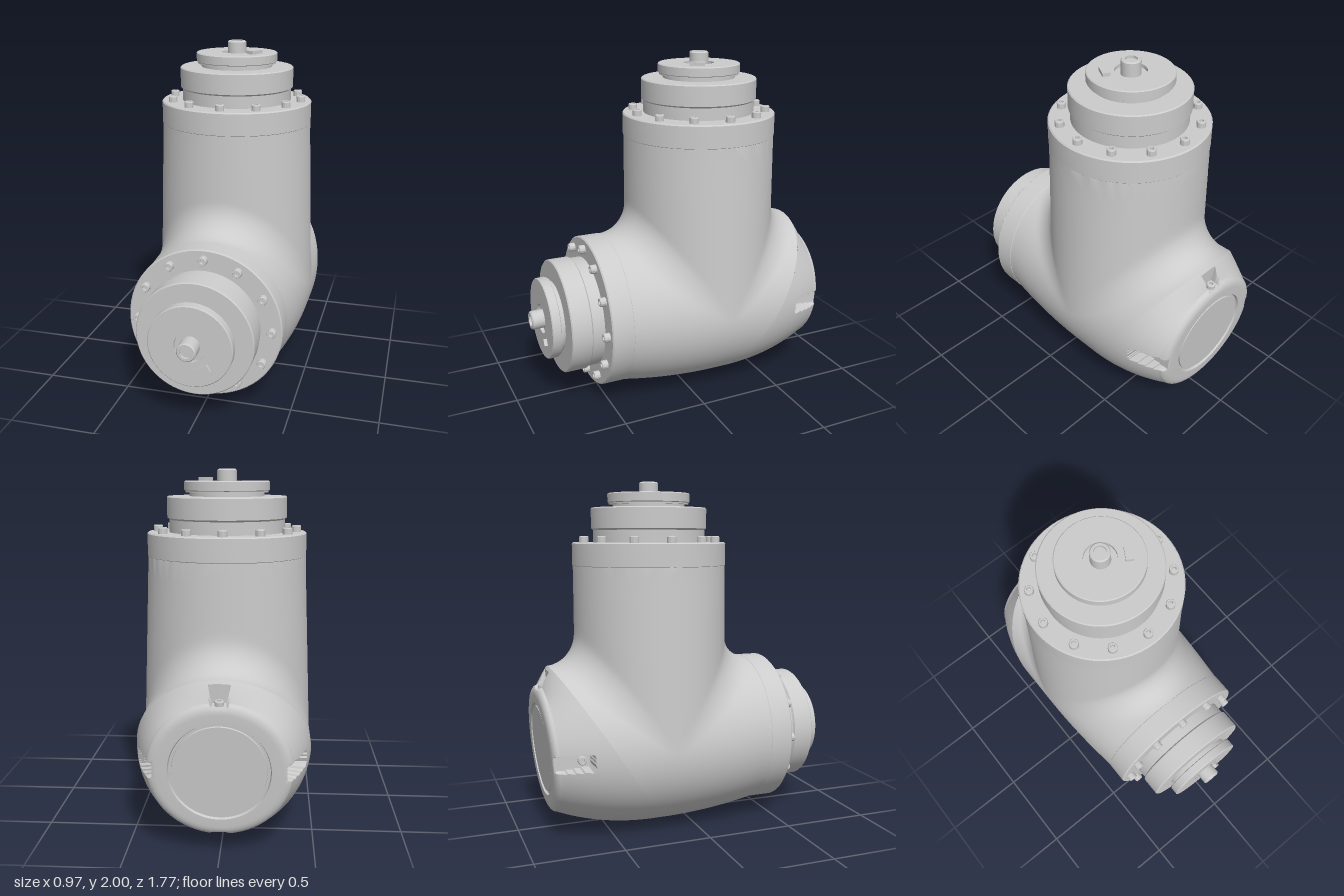
import * as THREE from 'three';
import { toCreasedNormals } from 'three/addons/utils/BufferGeometryUtils.js';

const V = (x, y, z) => new THREE.Vector3(x, y, z);
const material = new THREE.MeshStandardMaterial({ color: 0xcccccc });

function mesh(geometry, name, parent) {
  const m = new THREE.Mesh(geometry, material);
  m.name = name;
  parent.add(m);
  return m;
}

const turned = (points, sides) => toCreasedNormals(
  new THREE.LatheGeometry(points.map(([r, y]) => new THREE.Vector2(r, y)), sides), 0.5);

// Closed-loop grid: pointAt(row, angle) gives the surface
function loopGrid(rows, segs, pointAt, flip, crease) {
  const pos = [], index = [];
  for (let i = 0; i <= rows; i++)
    for (let j = 0; j < segs; j++) pos.push(...pointAt(i, (j / segs) * Math.PI * 2).toArray());
  for (let i = 0; i < rows; i++)
    for (let j = 0; j < segs; j++) {
      const k = (j + 1) % segs;
      const a = i * segs + j, b = i * segs + k, c = b + segs, d = a + segs;
      if (flip) index.push(a, c, b, a, d, c);
      else index.push(a, b, c, a, c, d);
    }
  const g = new THREE.BufferGeometry();
  g.setAttribute('position', new THREE.Float32BufferAttribute(pos, 3));
  g.setIndex(index);
  return toCreasedNormals(g, crease);
}

// Housing rule: horizontal barrel and upright neck joined by a fillet (negative inside)
function housing(p) {
  const t = THREE.MathUtils.clamp((0.41 - p.z) / 0.6, 0, 1);
  const e = 1 - (1 - t) * (1 - t);
  const na = V(p.x * 0.445 / (0.445 + 0.04 * e), (p.y - 0.505 + 0.03 * e) * 0.445 / (0.445 + 0.03 * e), 0);
  const a = na.length() - 0.445;
  const flare = 0.445 + 0.04 * THREE.MathUtils.clamp((1.52 - p.y) / 1.03, 0, 1);
  const nb = V(p.x * 0.445 / flare, Math.min(0, p.y - 0.49), p.z + 0.19);
  const b = nb.length() - 0.445;
  const k = Math.max(0.001, 0.18 * (1 - Math.max(0, na.normalize().dot(nb.normalize()))));
  const joined = Math.max(k, Math.min(a, b)) - Math.hypot(Math.max(k - a, 0), Math.max(k - b, 0));
  return Math.max(joined, p.y - 1.64, p.z - 0.53);
}

// Slanted seam plane between housing and rear cap
const seamCentre = V(0, 0.43, -0.465);
const seamUp = V(0, 0.841, -0.54).normalize();
const seamNormal = V(1, 0, 0).cross(seamUp);

// Point where a ray from the seam centre leaves the housing
function housingPoint(theta, lift) {
  const dir = V(Math.cos(theta), 0, 0).addScaledVector(seamUp, Math.sin(theta))
    .multiplyScalar(Math.cos(lift)).addScaledVector(seamNormal, Math.sin(lift));
  let lo = 0, hi = 1.8;
  for (let n = 0; n < 26; n++) {
    const mid = (lo + hi) / 2;
    if (housing(seamCentre.clone().addScaledVector(dir, mid)) < 0) lo = mid;
    else hi = mid;
  }
  return seamCentre.clone().addScaledVector(dir, lo);
}

// Rear cap: lofted from the seam to a tilted rounded rim, then to the round cover
const backCentre = V(0, 0.475, -0.858);
const backUp = V(0, 0.997, -0.078);
const backIn = V(0, 0.078, 0.997);
const onBack = (theta, rx, ry, w) => backCentre.clone().add(V(rx * Math.cos(theta), 0, 0))
  .addScaledVector(backUp, ry * Math.sin(theta)).addScaledVector(backIn, w);

const LOFT = 40, ROUND = 6;
const COVER = [[0.27, 0], [0.265, 0.014], [0.25, 0.014], [0.248, 0.004], [0, 0.004]];

// Four slots are sunk into the cap around its rim
function sinkSlot(p) {
  const rel = p.clone().sub(backCentre);
  const w = rel.dot(backIn), h = rel.dot(backUp);
  const across = Math.min(Math.abs(rel.x), Math.abs(h));
  const out = Math.max(Math.abs(rel.x), Math.abs(h));
  if (across > 0.046 || w > 0.21 || out < 0.35) return p;
  if (Math.abs(rel.x) > Math.abs(h)) p.x = Math.sign(rel.x) * 0.35;
  else p.addScaledVector(backUp, Math.sign(h) * 0.35 - h);
  return p;
}

function capPoint(i, theta) {
  if (i <= LOFT) {
    const u = i / LOFT;
    const s = housingPoint(theta, 0), r = onBack(theta, 0.385, 0.37, 0.035);
    const c = s.clone().lerp(r, 0.55)
      .addScaledVector(onBack(theta, 1, 1, 0).sub(backCentre), 0.11 * s.distanceTo(r));
    const p = s.multiplyScalar((1 - u) ** 2).addScaledVector(c, 2 * u * (1 - u)).addScaledVector(r, u * u);
    return u > 0.2 ? sinkSlot(p) : p;
  }
  if (i <= LOFT + ROUND) {
    const a = ((i - LOFT) / ROUND) * Math.PI / 2, cut = 0.055 * (1 - Math.cos(a));
    return sinkSlot(onBack(theta, 0.385 - cut, 0.37 - cut, 0.035 * (1 - Math.sin(a))));
  }
  const [r, w] = COVER[i - LOFT - ROUND - 1];
  return onBack(theta, r, r, w);
}

// Socket-head screw standing on y = 0
const screwGeometry = (r, h) => turned(
  [[r, -0.01], [r, h * 0.85], [r * 0.88, h], [r * 0.5, h], [r * 0.5, h * 0.4], [0, h * 0.4]], 12);

// Stepped drive end, built along +y from the bottom of its collar
function driveEnd(name, tabAngle) {
  const g = new THREE.Group();
  g.name = name;
  mesh(turned([[0, 0], [0.443, 0], [0.448, 0.005], [0.448, 0.128], [0.441, 0.135], [0.3, 0.135]], 64), 'collar', g);
  mesh(turned([[0.325, 0.13], [0.325, 0.205], [0.33, 0.21], [0.336, 0.214], [0.336, 0.326], [0.33, 0.332], [0.2, 0.332]], 64), 'flange', g);
  mesh(turned([[0.21, 0.33], [0.21, 0.352], [0.232, 0.352], [0.232, 0.36], [0.239, 0.364], [0.239, 0.41],
    [0.234, 0.415], [0.088, 0.415], [0.088, 0.395], [0, 0.395]], 64), 'hub', g);
  mesh(turned([[0.055, 0.39], [0.055, 0.473], [0.048, 0.48], [0.034, 0.48], [0.034, 0.465], [0, 0.465]], 24), 'shaft', g);

  // Ring of twelve screws
  const screw = screwGeometry(0.026, 0.035);
  for (let i = 0; i < 12; i++) {
    const a = (i * Math.PI) / 6;
    mesh(screw, 'collarScrew', g).position.set(0.39 * Math.cos(a), 0.135, 0.39 * Math.sin(a));
  }

  // Small raised tab beside the shaft
  const tab = mesh(new THREE.BoxGeometry(0.042, 0.03, 0.085), 'tab', g);
  tab.position.set(0.144 * Math.cos(tabAngle), 0.42, 0.144 * Math.sin(tabAngle));
  tab.rotation.y = -tabAngle;
  return g;
}

export function createModel() {
  const model = new THREE.Group();
  model.name = 'elbowJoint';

  // Housing and rear cap share the seam
  const ROWS = 100;
  mesh(loopGrid(ROWS, 128, (i, th) => housingPoint(th, (i / ROWS) * Math.PI / 2), false, 0.7), 'housing', model);
  mesh(loopGrid(LOFT + ROUND + COVER.length, 240, capPoint, true, 0.6), 'rearCap', model);

  // Screws in the four cap slots
  const screw = screwGeometry(0.025, 0.025);
  [0.16, 0.05, 0.16, 0.16].forEach((w, i) => {
    const a = (i * Math.PI) / 2;
    const s = mesh(screw, 'capScrew', model);
    s.position.copy(onBack(a, 0.35, 0.35, w));
    s.quaternion.setFromUnitVectors(V(0, 1, 0), onBack(a, 1, 1, 0).sub(backCentre).normalize());
  });

  // Drive ends on top and at the front
  const top = driveEnd('topDrive', Math.PI / 6);
  top.position.set(0, 1.52, -0.19);
  const front = driveEnd('frontDrive', Math.PI / 3);
  front.position.set(0, 0.505, 0.41);
  front.rotation.x = Math.PI / 2;
  model.add(top, front);
  return model;
}
